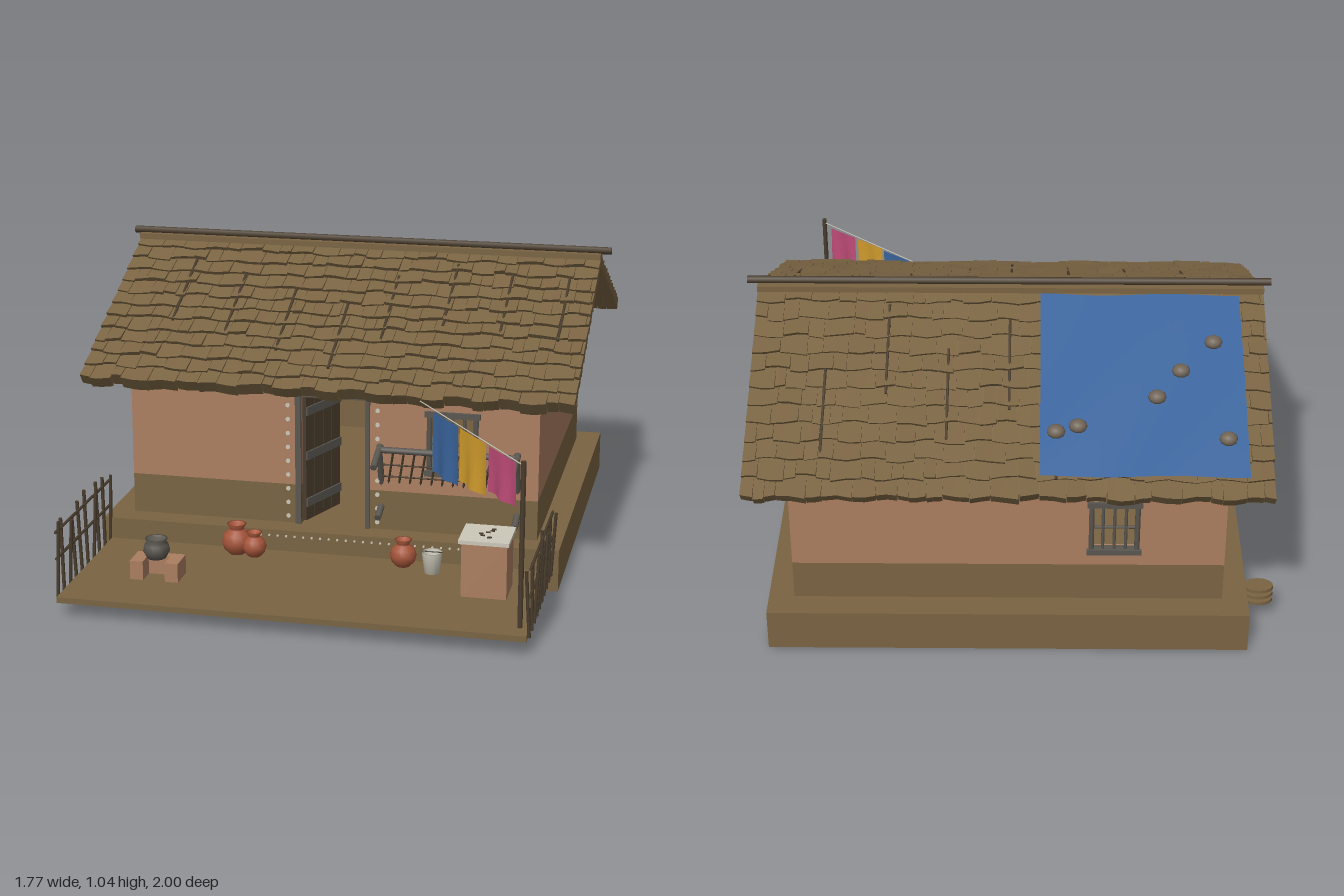
import * as THREE from 'three';
import { mergeGeometries } from 'three/addons/utils/BufferGeometryUtils.js';

const mat = (name, color, side = THREE.FrontSide) => {
  const m = new THREE.MeshStandardMaterial({ color, side });
  m.name = name;
  return m;
};

export function createModel() {
  const mud = mat('mud and thatch', 0x7a6443);
  const wall = mat('clay wall', 0xab7e60);
  const dark = mat('dark wood', 0x4a3d2d);
  const grey = mat('grey wood and iron', 0x5a5650);
  const blue = mat('blue cloth', 0x3a649c, THREE.DoubleSide);
  const yellow = mat('yellow cloth', 0xd19c2c, THREE.DoubleSide);
  const pink = mat('pink cloth', 0xc04c78, THREE.DoubleSide);
  const clay = mat('terracotta', 0xa5553a);
  const pale = mat('pale stone', 0xcbc7b8, THREE.DoubleSide);
  const stone = mat('stone', 0x6e6254);

  const model = new THREE.Group();
  model.name = 'mudHouse';
  let seed = 7;
  const rnd = () => (seed = (seed * 16807) % 2147483647) / 2147483647;

  const add = (name, geo, m, x = 0, y = 0, z = 0, parent = model) => {
    const mesh = new THREE.Mesh(geo, m);
    mesh.name = name;
    mesh.position.set(x, y, z);
    parent.add(mesh);
    return mesh;
  };
  const group = (name, x = 0, y = 0, z = 0, parent = model) => {
    const g = new THREE.Group();
    g.name = name;
    g.position.set(x, y, z);
    parent.add(g);
    return g;
  };
  // Box given by its limits on each axis
  const box = (name, m, x0, x1, y0, y1, z0, z1, parent = model) =>
    add(name, new THREE.BoxGeometry(x1 - x0, y1 - y0, z1 - z0), m,
      (x0 + x1) / 2, (y0 + y1) / 2, (z0 + z1) / 2, parent);
  // Round rod between two points
  const rod = (name, m, a, b, r, parent = model, sides = 6) => {
    const p = new THREE.Vector3(...a), q = new THREE.Vector3(...b);
    const mesh = add(name, new THREE.CylinderGeometry(r, r, p.distanceTo(q), sides), m, 0, 0, 0, parent);
    mesh.position.copy(p).add(q).multiplyScalar(0.5);
    mesh.quaternion.setFromUnitVectors(new THREE.Vector3(0, 1, 0), q.sub(p).normalize());
    return mesh;
  };
  const lathe = (name, m, pts, x, y, z, s = 1) => {
    const g = new THREE.LatheGeometry(pts.map(([a, b]) => new THREE.Vector2(a * s, b * s)), 16);
    return add(name, g, m, x, y, z);
  };
  const rectPath = (x0, x1, y0, y1) => new THREE.Path([[x0, y0], [x1, y0], [x1, y1], [x0, y1]]
    .map(([x, y]) => new THREE.Vector2(x, y)));
  const slab = (pts, hole, depth) => {
    const s = new THREE.Shape(pts.map(([x, y]) => new THREE.Vector2(x, y)));
    if (hole) s.holes.push(hole);
    return new THREE.ExtrudeGeometry(s, { depth, bevelEnabled: false });
  };

  // Plinth and front yard
  box('plinth', mud, -0.795, 0.8, 0, 0.145, -0.915, 0.43);
  box('yard', mud, -0.77, 0.77, 0.05, 0.07, 0.43, 1);

  // Walls: dark lower band, pale upper part, door and window openings
  box('frontBandRight', mud, -0.71, -0.105, 0.145, 0.285, 0.305, 0.345);
  box('frontBandLeft', mud, 0.12, 0.715, 0.145, 0.285, 0.305, 0.345);
  box('backBand', mud, -0.71, 0.715, 0.145, 0.285, -0.825, -0.785);
  add('frontWall', slab([[-0.71, 0.285], [-0.105, 0.285], [-0.105, 0.61], [0.12, 0.61], [0.12, 0.285],
    [0.715, 0.285], [0.715, 0.725], [-0.71, 0.725]], rectPath(0.34, 0.5, 0.36, 0.57), 0.04), wall, 0, 0, 0.305);
  add('backWall', slab([[-0.71, 0.285], [0.715, 0.285], [0.715, 0.725], [-0.71, 0.725]],
    rectPath(-0.42, -0.27, 0.34, 0.53), 0.04), wall, 0, 0, -0.825);
  for (const x of [-0.71, 0.675]) {
    box('sideBand', mud, x, x + 0.04, 0.145, 0.285, -0.785, 0.305);
    const gable = slab([[-0.345, 0.285], [0.825, 0.285], [0.825, 0.715], [0.24, 0.985], [-0.345, 0.715]], null, 0.04);
    add('gableWall', gable.rotateY(Math.PI / 2), wall, x);
    box('gableSeam', dark, x - 0.001, x + 0.041, 0.713, 0.717, -0.82, 0.34);
  }

  // Barred windows
  const makeWindow = (name, x0, x1, y0, y1, z) => {
    const g = group(name);
    for (const y of [y0, y1]) box('windowRail', grey, x0 - 0.015, x1 + 0.015, y - 0.01, y + 0.01, z - 0.015, z + 0.015, g);
    for (let i = 0; i < 5; i++) {
      const x = x0 + (x1 - x0) * i / 4;
      rod('windowBar', grey, [x, y0, z], [x, y1, z], i % 4 ? 0.006 : 0.01, g);
    }
    rod('crossBar', grey, [x0, (y0 + y1) / 2, z], [x1, (y0 + y1) / 2, z], 0.005, g);
  };
  makeWindow('frontWindow', 0.34, 0.5, 0.36, 0.57, 0.34);
  makeWindow('backWindow', -0.42, -0.27, 0.34, 0.53, -0.82);

  // Door frame and open plank door
  box('doorPost', grey, -0.125, -0.105, 0.145, 0.625, 0.3, 0.355);
  box('doorPost', grey, 0.12, 0.136, 0.145, 0.625, 0.3, 0.355);
  box('doorLintel', grey, -0.125, 0.136, 0.605, 0.625, 0.3, 0.355);
  const door = group('openDoor', -0.1, 0.15, 0.325);
  door.rotation.y = 1.2;
  for (let i = 0; i < 4; i++) box('doorPlank', dark, i * 0.053, i * 0.053 + 0.05, 0, 0.455, -0.008, 0.008, door);
  for (const y of [0.05, 0.22, 0.38]) box('doorBrace', grey, 0, 0.21, y, y + 0.03, -0.014, 0.014, door);

  // Painted dots round the door and along the plinth
  const dots = group('paintedDots');
  const dot = (x, y, z, r) => add('dot', new THREE.CylinderGeometry(r, r, 0.006, 8).rotateX(Math.PI / 2), pale, x, y, z, dots);
  for (let i = 0; i < 9; i++) for (const x of [-0.152, 0.162]) dot(x, 0.17 + i * 0.05, 0.346, 0.008);
  for (let i = 0; i < 32; i++) dot(-0.32 + i * 0.03, 0.125, 0.431, 0.004);

  // Things inside on the back wall
  box('wallPanel', clay, -0.025, 0.03, 0.455, 0.59, -0.785, -0.778);
  box('wallNiche', grey, 0.055, 0.13, 0.44, 0.555, -0.785, -0.778);
  box('wallShelf', grey, 0.055, 0.13, 0.43, 0.44, -0.785, -0.72);

  // Roof: each slope is a tilted frame, x along the ridge, y out of the roof, z downhill
  const L = 0.815;
  const slope = (name, turn) => {
    const pivot = group(name, 0, 1.0, -0.245);
    pivot.rotation.y = turn;
    const g = group('roofSlope', 0, 0, 0, pivot);
    g.rotation.x = 0.426;
    box('roofBoard', mud, -0.83, 0.83, -0.012, 0.002, 0, L - 0.02, g);
    const tiles = [], rows = 12, step = L / rows;
    for (let r = 0; r < rows; r++) {
      let x = -0.845;
      const phase = rnd() * 6;
      while (x < 0.84) {
        const w = Math.min(0.035 + rnd() * 0.065, 0.845 - x);
        const drop = (rnd() - 0.5) * 0.016, lift = 0.012 + rnd() * 0.009;
        const geo = new THREE.BoxGeometry(w - 0.002, 1, 1, 2, 1, 1), p = geo.attributes.position;
        for (let i = 0; i < p.count; i++) {
          const px = x + w / 2 + p.getX(i), low = p.getZ(i) > 0, top = p.getY(i) > 0;
          const wave = 0.006 * Math.sin(px * 38 + phase);
          const s = low ? (r + 1) * step + drop + wave - (top ? 0 : 0.012) : Math.max(0, (r - 0.25) * step);
          p.setXYZ(i, px, low ? (top ? lift : -0.034) : (top ? 0.003 : -0.008), s);
        }
        geo.computeVertexNormals();
        tiles.push(geo);
        x += w;
      }
    }
    add('thatchTiles', mergeGeometries(tiles), mud, 0, 0, 0, g);
    // Thin poles half sunk in the thatch
    for (let i = 0; i < 8; i++) {
      const x = -0.6 + i * 0.2 - (i > 3 ? 0.05 : 0), a = 0.05 + rnd() * 0.35;
      rod('roofPole', dark, [x, 0.011, a], [x, 0.011, a + 0.35], 0.005, g);
    }
    return g;
  };
  slope('frontRoof', 0);
  const back = slope('backRoof', Math.PI);
  rod('ridgePole', dark, [-0.87, 1.028, -0.245], [0.88, 1.028, -0.245], 0.013, model, 8);
  box('ridgeCap', mud, -0.845, 0.845, 1.0, 1.02, -0.28, -0.21);

  // Blue sheet on the back slope, held down by stones
  const sheetH = (x, s) => 0.026 + 0.05 * s + 0.006 * Math.sin(x * 14 + s * 9);
  const sheet = new THREE.PlaneGeometry(0.66, 0.72, 14, 14).rotateX(-Math.PI / 2).translate(0.43, 0, 0.405);
  const sp = sheet.attributes.position;
  for (let i = 0; i < sp.count; i++) sp.setY(i, sheetH(sp.getX(i), sp.getZ(i)));
  sheet.computeVertexNormals();
  add('roofSheet', sheet, blue, 0, 0, 0, back);
  for (const [x, z] of [[-0.695, -0.84], [-0.22, -0.8], [-0.15, -0.82], [-0.475, -0.69], [-0.555, -0.595], [-0.665, -0.49]]) {
    const s = (-0.245 - z) / 0.91 - 0.025;
    add('sheetStone', new THREE.SphereGeometry(0.03, 10, 7), stone, -x, sheetH(-x, s) + 0.012, s, back).scale.set(1, 0.7, 0.85);
  }

  // Stick fences on both sides of the yard
  for (const x of [-0.775, 0.775]) {
    const f = group('sideFence');
    for (const y of [0.19, 0.28]) rod('fenceRail', dark, [x, y, 0.42], [x, y + 0.003, 0.975], 0.005, f);
    for (let i = 0; i < 10; i++) {
      const z = 0.43 + i * 0.06;
      rod('fenceStick', dark, [x, 0.055, z], [x + (rnd() - 0.5) * 0.03, 0.27 + rnd() * 0.06, z + (rnd() - 0.5) * 0.015], 0.006, f);
    }
  }

  // Washing line with three cloths
  rod('linePole', dark, [0.74, 0.06, 0.93], [0.74, 0.62, 0.93], 0.009);
  rod('washingLine', pale, [0.33, 0.66, 0.49], [0.74, 0.605, 0.93], 0.002);
  [[blue, 0.39, 0.56, 0.645, 0.205], [yellow, 0.498, 0.675, 0.632, 0.18], [pink, 0.61, 0.79, 0.615, 0.15]].forEach(([m, x, z, y, h]) => {
    const c = new THREE.PlaneGeometry(1, 1, 8, 4), p = c.attributes.position;
    for (let i = 0; i < p.count; i++) {
      const u = p.getX(i) + 0.5, v = 0.5 - p.getY(i), bend = 0.006 * v * Math.sin(u * 9);
      p.setXYZ(i, x + 0.1 * u + bend, y - 0.014 * u - h * v, z + 0.1 * u - bend);
    }
    c.computeVertexNormals();
    add('hangingCloth', c, m);
  });

  // Rope cot leaning on the front wall
  const cot = group('leaningCot', 0.41, 0.24, 0.31);
  cot.rotation.x = 0.35;
  for (const y of [0, 0.218]) rod('cotRail', grey, [-0.245, y, 0], [0.245, y, 0], 0.011, cot, 8);
  for (const x of [-0.235, 0.235]) {
    rod('cotSide', grey, [x, 0, 0], [x, 0.218, 0], 0.011, cot, 8);
    for (const y of [0, 0.218]) rod('cotLeg', grey, [x, y, -0.02], [x, y, 0.1], 0.012, cot, 8);
  }
  for (let i = 0; i < 12; i++) {
    const x = -0.225 + i * 0.037;
    rod('cotRope', dark, [x, 0, 0.004], [x + 0.04, 0.218, 0.004], 0.004, cot, 5);
  }
  for (const y of [0.06, 0.11, 0.16]) rod('cotRope', dark, [-0.235, y, 0.006], [0.235, y, 0.006], 0.003, cot, 5);

  // Stand with a stone top and scattered crumbs
  box('standBase', wall, 0.515, 0.665, 0.07, 0.255, 0.57, 0.715);
  box('standTop', pale, 0.505, 0.672, 0.255, 0.268, 0.56, 0.725);
  for (let i = 0; i < 6; i++) {
    const x = 0.56 + rnd() * 0.05, z = 0.6 + i * 0.016;
    box('crumb', dark, x, x + 0.014, 0.268, 0.272, z, z + 0.006);
  }

  // Hearth with cooking pot
  box('hearthSide', wall, -0.585, -0.54, 0.07, 0.135, 0.7, 0.795);
  box('hearthSide', wall, -0.465, -0.42, 0.07, 0.135, 0.7, 0.795);
  box('hearthBack', wall, -0.54, -0.465, 0.07, 0.135, 0.7, 0.73);
  const potShape = [[0, 0], [0.5, 0.05], [0.85, 0.4], [1, 0.9], [0.85, 1.4], [0.5, 1.7], [0.45, 1.8], [0.65, 2.1], [0.5, 2.1], [0.35, 1.8], [0, 1.75]];
  lathe('cookingPot', grey, [[0, 0], [0.7, 0.05], [1, 0.6], [0.9, 1.1], [0.7, 1.3], [0.85, 1.55], [0.7, 1.55], [0.6, 1.3], [0, 1.2]], -0.505, 0.135, 0.75, 0.045);

  // Water pots and bucket
  lathe('waterPot', clay, potShape, -0.3, 0.07, 0.487, 0.052);
  lathe('waterPot', clay, potShape, -0.235, 0.07, 0.5, 0.042);
  lathe('waterPot', clay, potShape, 0.28, 0.07, 0.485, 0.046);
  lathe('shelfPot', clay, potShape, 0.09, 0.44, -0.75, 0.02);
  lathe('bucket', pale, [[0, 0], [0.026, 0], [0.035, 0.073], [0.032, 0.073], [0.024, 0.006], [0, 0.006]], 0.385, 0.07, 0.52);
  add('bucketHandle', new THREE.TorusGeometry(0.034, 0.002, 5, 16, Math.PI), grey, 0.385, 0.143, 0.52).rotation.x = 1.2;

  // Flat fuel cakes drying at the side of the plinth
  for (const y of [0.075, 0.1, 0.125])
    add('fuelCake', new THREE.CylinderGeometry(0.05, 0.05, 0.012, 14), mud, -0.84, y, -0.73).scale.z = 0.7;

  return model;
}
